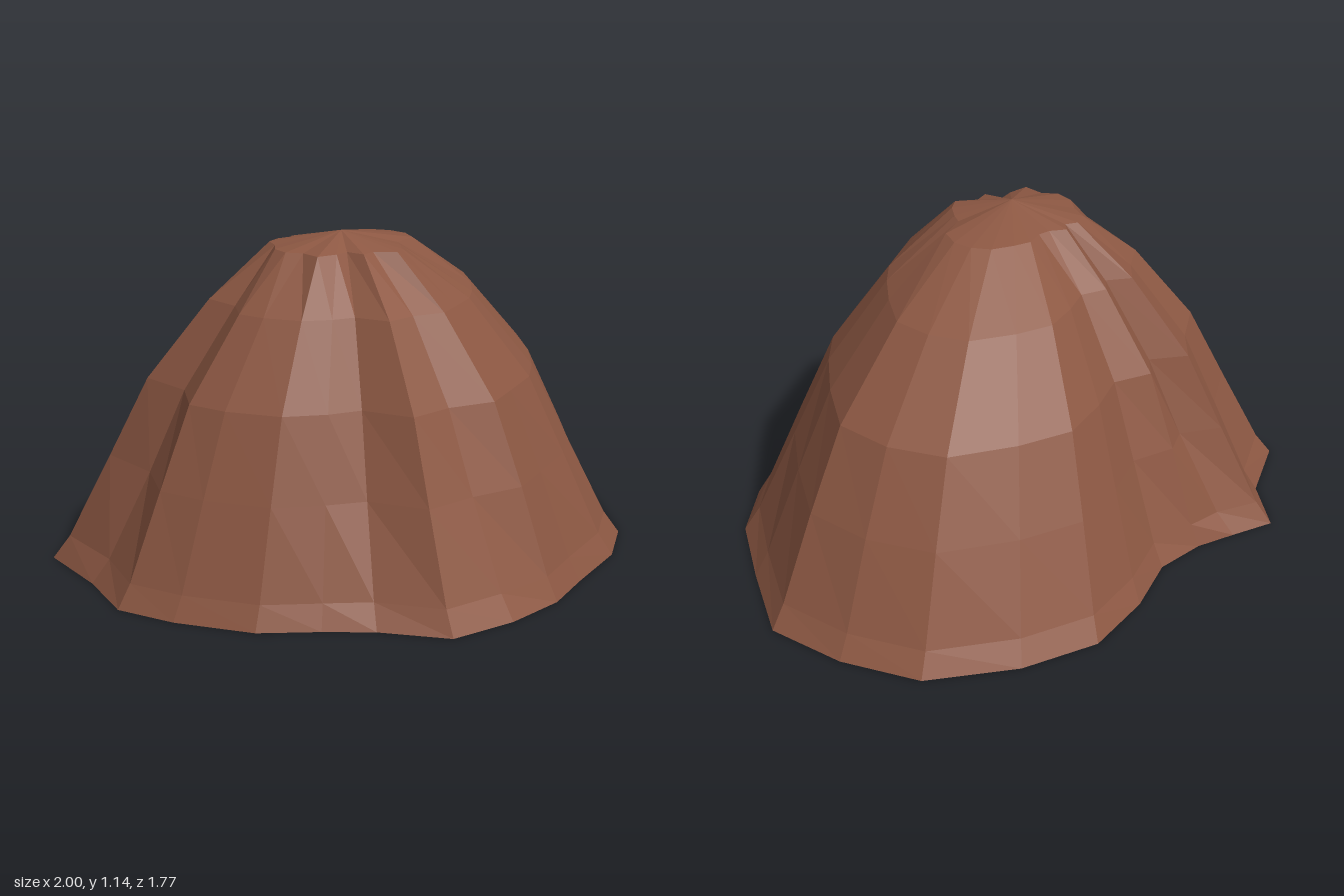
import * as THREE from 'three';

// Foot of the mound, counterclockwise from above:
// [x, z, groove depth (negative for a ridge), share of the radius at the crown]
const OUTLINE = [
  [1.0, 0.04, -0.04, 0.24], [0.95, -0.24, -0.03, 0.23], [0.74, -0.49, 0, 0.22], [0.51, -0.65, 0, 0.22],
  [0.26, -0.68, 0.03, 0.21], [0.04, -0.66, 0.04, 0.24], [-0.13, -0.72, -0.04, 0.28], [-0.25, -0.8, 0.13, 0.23],
  [-0.38, -0.89, 0.05, 0.24], [-0.55, -0.76, 0.02, 0.27], [-0.8, -0.71, 0.05, 0.22], [-0.89, -0.44, 0.1, 0.26],
  [-1.0, -0.22, 0.02, 0.25], [-0.97, -0.01, 0, 0.23], [-0.88, 0.25, 0, 0.28], [-0.75, 0.41, 0.04, 0.23],
  [-0.65, 0.55, 0.14, 0.17], [-0.55, 0.77, 0.05, 0.21], [-0.33, 0.85, 0.09, 0.19], [-0.11, 0.88, -0.02, 0.26],
  [0.09, 0.85, -0.01, 0.25], [0.36, 0.82, 0.02, 0.21], [0.57, 0.73, 0.04, 0.19], [0.77, 0.54, 0, 0.25],
  [0.98, 0.32, -0.02, 0.24],
];
// Rings above the foot: [height, share of the foot radius, groove strength]
const RINGS = [[0, 1, 0], [0.08, 0.95, 0.2], [0.37, 0.82, 0.7], [0.64, 0.69, 1], [0.91, 0.465, 1]];
const CROWN_Y = 1.09;
const APEX = [-0.19, 1.14, 0.07];

// Point on the line from the apex axis to a foot point
const along = ([x, z], share, y) => [APEX[0] + (x - APEX[0]) * share, y, APEX[2] + (z - APEX[2]) * share];

// Faceted geometry: separate corners give each triangle its own normal
function faceted(triangles) {
  const g = new THREE.BufferGeometry();
  g.setAttribute('position', new THREE.Float32BufferAttribute(triangles.flat(2), 3));
  g.computeVertexNormals();
  return g;
}

export function createModel() {
  const group = new THREE.Group();
  group.name = 'rockMound';
  const brown = new THREE.MeshStandardMaterial({ color: 0x8d5843 });
  brown.name = 'earthBrown';

  const rings = RINGS.map(([y, share, strength]) =>
    OUTLINE.map((p) => along(p, share * (1 - p[2] * strength), y)));
  const top = OUTLINE.map((p) => along(p, p[3], CROWN_Y));
  rings.push(top);

  const n = OUTLINE.length;
  const slope = [], crown = [], base = [];
  for (let i = 0; i < n; i++) {
    const k = (i + 1) % n;
    for (let j = 0; j < rings.length - 1; j++) {
      const a = rings[j][i], b = rings[j][k], c = rings[j + 1][k], d = rings[j + 1][i];
      slope.push([a, b, d], [b, c, d]);
    }
    crown.push([top[i], top[k], APEX]);
    base.push([[0, 0, 0], rings[0][k], rings[0][i]]);
  }

  // Grooved sides, shallow crown and flat underside
  for (const [name, triangles] of Object.entries({ slope, crown, base })) {
    const mesh = new THREE.Mesh(faceted(triangles), brown);
    mesh.name = name;
    group.add(mesh);
  }
  return group;
}
